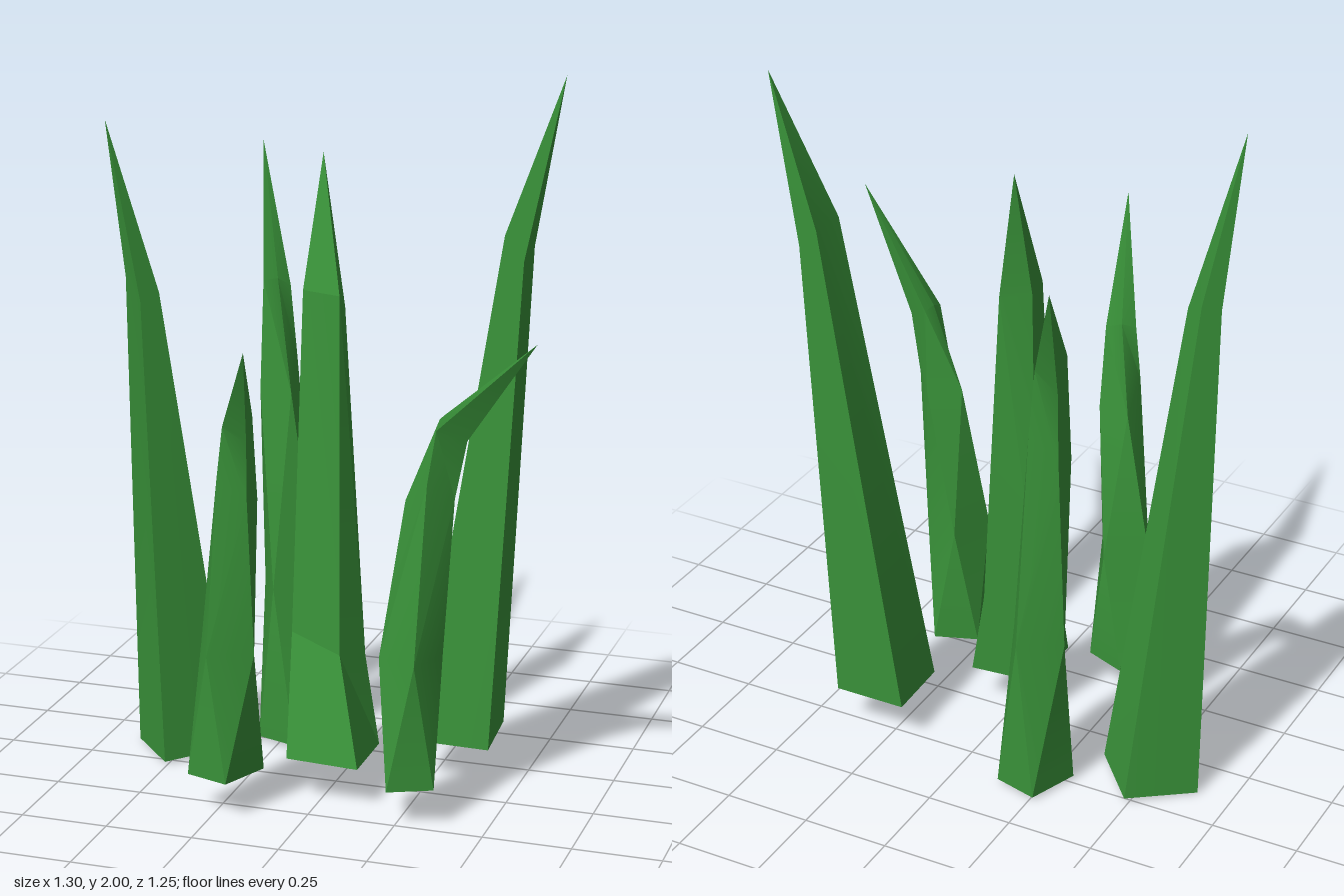
import * as THREE from 'three';
import { toCreasedNormals } from 'three/addons/utils/BufferGeometryUtils.js';

// Skin a blade from four-cornered rings (bottom to top), closed below and pointed at the tip.
function bladeGeometry(rings, tip, crease) {
  const pos = [];
  const tri = (a, b, c) => pos.push(...a, ...b, ...c);
  const base = rings[0], last = rings[rings.length - 1];
  for (let r = 0; r < rings.length - 1; r++) {
    const a = rings[r], b = rings[r + 1];
    for (let i = 0; i < 4; i++) {
      const j = (i + 1) % 4;
      tri(a[i], a[j], b[i]);
      tri(a[j], b[j], b[i]);
    }
  }
  for (let i = 0; i < 4; i++) tri(last[i], last[(i + 1) % 4], tip);
  tri(base[2], base[1], base[0]);
  tri(base[3], base[2], base[0]);
  const g = new THREE.BufferGeometry();
  g.setAttribute('position', new THREE.Float32BufferAttribute(pos, 3));
  return toCreasedNormals(g, crease);
}

// Straight blades: rings run right, back, left, front
const straightBlades = [
  {
    name: 'leftStraightBlade',
    rings: [
      [[-0.35, 0.02, -0.11], [-0.49, 0.015, -0.27], [-0.65, 0, -0.13], [-0.51, 0.005, 0.03]],
      [[-0.5, 1.4, 0.04], [-0.57, 1.45, -0.03], [-0.61, 1.43, 0.01], [-0.54, 1.38, 0.08]],
    ],
    tip: [-0.615, 1.89, 0.125],
  },
  {
    name: 'tallBlade',
    rings: [
      [[0.42, 0.11, -0.095], [0.41, 0.12, -0.3], [0.2, 0.12, -0.3], [0.21, 0.115, -0.09]],
      [[0.47, 1.5, -0.21], [0.47, 1.52, -0.325], [0.42, 1.57, -0.318], [0.415, 1.57, -0.21]],
    ],
    tip: [0.555, 2, -0.31],
  },
  {
    name: 'centreBlade',
    rings: [
      [[0.12, 0.12, 0.18], [0.12, 0.12, -0.025], [-0.085, 0.13, -0.02], [-0.085, 0.13, 0.185]],
      [[0.035, 0.41, 0.075], [0.075, 0.38, -0.035], [-0.1, 0.46, -0.05], [-0.11, 0.46, 0.06]],
      [[0, 1.41, -0.03], [0, 1.37, -0.08], [-0.1, 1.4, -0.08], [-0.105, 1.42, -0.03]],
    ],
    tip: [-0.09, 1.78, -0.165],
  },
];

// Bent blade, leaning toward +x; each ring is turned an eighth from the one below
const bentRings = [
  [[0.098, 0, 0.018], [0, 0, -0.103], [-0.098, 0, -0.02], [0.004, 0, 0.11]],
  [[0.06, 0.36, -0.07], [-0.055, 0.36, -0.07], [-0.06, 0.36, 0.06], [0.06, 0.36, 0.062]],
  [[0.04, 0.8, -0.085], [-0.024, 0.8, -0.008], [0.075, 0.87, 0.03], [0.112, 0.82, -0.046]],
  [[0.06, 1.04, -0.07], [0.075, 1.04, -0.025], [0.094, 1.02, 0.016], [0.155, 0.99, -0.04]],
];
const bentTip = [0.4, 1.3, 0];

// Placement of the bent blades: foot, lean target and height scale
const bentBlades = [
  { name: 'rightBentBlade', foot: [0.27, 0.11, 0.18], toward: [0.64, 0.315], height: 1 },
  { name: 'frontBentBlade', foot: [-0.23, 0.108, 0.27], toward: [-0.04, 0.63], height: 1 },
  { name: 'backBentBlade', foot: [-0.225, 0.01, -0.285], toward: [-0.43, -0.63], height: 1.31 },
];

export function createModel() {
  const group = new THREE.Group();
  group.name = 'grassTuft';
  const green = new THREE.MeshStandardMaterial({ color: 0x399239 });
  green.name = 'grass green';

  for (const { name, rings, tip } of straightBlades) {
    const mesh = new THREE.Mesh(bladeGeometry(rings, tip, 0.2), green);
    mesh.name = name;
    group.add(mesh);
  }

  const bent = bladeGeometry(bentRings, bentTip, 0.6);
  for (const { name, foot, toward, height } of bentBlades) {
    const mesh = new THREE.Mesh(bent, green);
    mesh.name = name;
    mesh.position.set(...foot);
    mesh.rotation.y = -Math.atan2(toward[1] - foot[2], toward[0] - foot[0]);
    mesh.scale.y = height;
    group.add(mesh);
  }
  return group;
}
